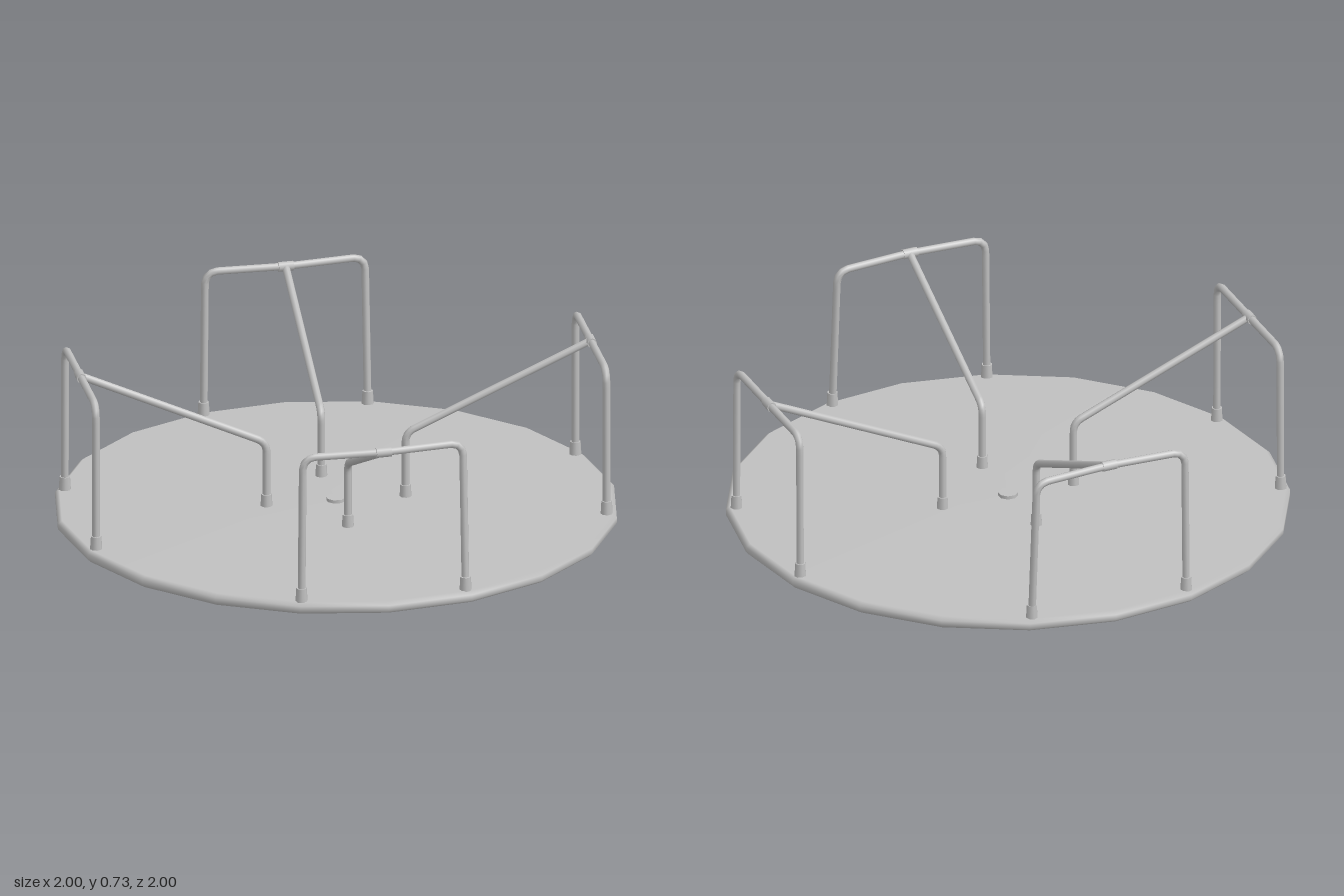
import * as THREE from 'three';

const steel = new THREE.MeshStandardMaterial({ color: 0xc0c0c0 });
steel.name = 'steel';

const V = (x, y, z) => new THREE.Vector3(x, y, z);
const DECK_TOP = 0.17, TOP = 0.712, RADIUS = 0.014;

function add(parent, name, geometry, position) {
  const mesh = new THREE.Mesh(geometry, steel);
  mesh.name = name;
  if (position) mesh.position.copy(position);
  parent.add(mesh);
  return mesh;
}

// Bent pipe: straight runs joined by rounded corners
function pipe(points, bend) {
  const path = new THREE.CurvePath();
  let from = points[0];
  for (let i = 1; i < points.length; i++) {
    const corner = points[i], next = points[i + 1];
    if (!next) {
      path.add(new THREE.LineCurve3(from, corner));
      break;
    }
    const a = corner.clone().add(from.clone().sub(corner).setLength(bend));
    const b = corner.clone().add(next.clone().sub(corner).setLength(bend));
    path.add(new THREE.LineCurve3(from, a));
    path.add(new THREE.QuadraticBezierCurve3(a, corner, b));
    from = b;
  }
  return new THREE.TubeGeometry(path, 72, RADIUS, 8, false);
}

// Socket where a pipe meets the deck
function socket(parent, x, z) {
  add(parent, 'socket', new THREE.CylinderGeometry(0.019, 0.022, 0.05, 8), V(x, DECK_TOP + 0.025, z));
}

// One handrail: outer hoop, sloping inner bar and the sleeve joining them.
// leftTop, rightTop and mid are the top corners and joint; feet are [x, z].
function handrail(name, feet, leftTop, rightTop, mid, inner) {
  const rail = new THREE.Group();
  rail.name = name;
  const [a, b] = feet;
  add(rail, 'hoop', pipe([
    V(a[0], DECK_TOP, a[1]), V(leftTop[0], TOP, leftTop[1]), V(mid[0], TOP, mid[1]),
    V(rightTop[0], TOP, rightTop[1]), V(b[0], DECK_TOP, b[1])], 0.05));
  add(rail, 'innerBar', pipe([
    V(inner[0], DECK_TOP, inner[1]), V(inner[0], 0.415, inner[1]), V(mid[0], TOP, mid[1])], 0.035));
  const sleeve = add(rail, 'sleeve', new THREE.CylinderGeometry(0.018, 0.018, 0.055, 8), V(mid[0], TOP, mid[1]));
  const along = V(rightTop[0] - leftTop[0], 0, rightTop[1] - leftTop[1]).normalize();
  sleeve.quaternion.setFromUnitVectors(V(0, 1, 0), along);
  for (const [x, z] of [a, b, inner]) socket(rail, x, z);
  return rail;
}

export function createModel() {
  const model = new THREE.Group();
  model.name = 'merryGoRound';

  // Twenty-sided deck with a softly rounded rim
  const profile = [[0.99, 0.13], [1, 0.14], [1, 0.16], [0.985, 0.172], [0, 0.178]]
    .map(([r, y]) => new THREE.Vector2(r, y));
  add(model, 'deck', new THREE.LatheGeometry(profile, 20));
  add(model, 'deckUnderside', new THREE.CircleGeometry(0.99, 20).rotateX(Math.PI / 2), V(0, 0.13, 0));

  // Centre post, its tip showing through the deck
  add(model, 'centrePost', new THREE.CylinderGeometry(0.035, 0.035, 0.19, 8).rotateY(Math.PI / 8), V(0, 0.095, 0));

  // Side handrails
  for (const s of [-1, 1]) {
    const x = s * 0.918;
    model.add(handrail(s > 0 ? 'leftHandrail' : 'rightHandrail',
      [[x, -0.3], [x, 0.29]], [x, -0.295], [x, 0.285], [x, -0.01], [s * 0.25, 0]));
  }
  // Front and back handrails, each with one leg bent toward the back
  for (const s of [-1, 1]) {
    const z = s * 0.922;
    model.add(handrail(s > 0 ? 'frontHandrail' : 'backHandrail',
      [[-0.3, z], [0.29, z]], [-0.295, z], [0.288, z - 0.04], [-0.005, z], [-0.005, s * 0.25]));
  }
  return model;
}
